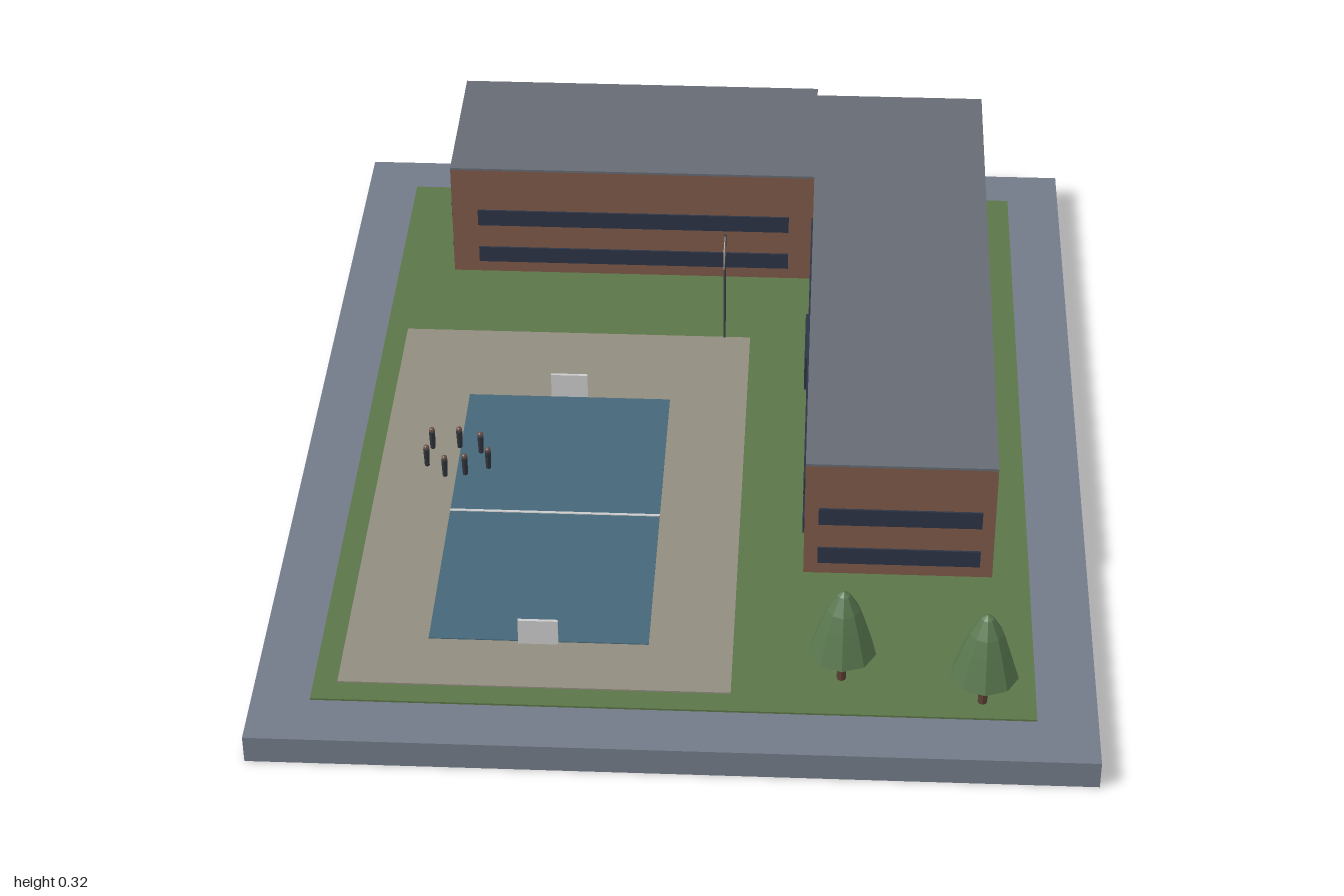
import * as THREE from 'three';

const mat = (color) => new THREE.MeshStandardMaterial({ color, flatShading: true });
const M = {
  base: mat(0x737b88), lawn: mat(0x5c7549), paving: mat(0x928d80), court: mat(0x456678),
  white: mat(0xcccccc), wall: mat(0x80594a), roof: mat(0x666b73), window: mat(0x2b3446),
  trunk: mat(0x5a4032), leaf: mat(0x5a7850), pole: mat(0x3c4046), flag: mat(0xb8aca0),
  clothes: mat(0x30343c), skin: mat(0x6b5048),
};

// Box given by its limits on each axis
function box(parent, name, m, [x0, x1], [y0, y1], [z0, z1]) {
  const mesh = new THREE.Mesh(new THREE.BoxGeometry(x1 - x0, y1 - y0, z1 - z0), m);
  mesh.position.set((x0 + x1) / 2, (y0 + y1) / 2, (z0 + z1) / 2);
  mesh.name = name;
  parent.add(mesh);
  return mesh;
}

function part(parent, name, geometry, m, x, y, z) {
  const mesh = new THREE.Mesh(geometry, m);
  mesh.position.set(x, y, z);
  mesh.name = name;
  parent.add(mesh);
  return mesh;
}

function group(parent, name) {
  const g = new THREE.Group();
  g.name = name;
  parent.add(g);
  return g;
}

const STOREYS = [[0.088, 0.125], [0.182, 0.22]];
const PROUD = 0.004;

// Window bands along a wall facing z or x
function bandsZ(parent, z, xs) {
  for (const ys of STOREYS) box(parent, 'windowBand', M.window, xs, ys, [z - PROUD, z + PROUD]);
}
function bandsX(parent, x, zs) {
  for (const ys of STOREYS) box(parent, 'windowBand', M.window, [x - PROUD, x + PROUD], ys, zs);
}

function wing(parent, name, xs, zs) {
  const g = group(parent, name);
  box(g, 'walls', M.wall, xs, [0.057, 0.32], zs);
  box(g, 'roof', M.roof, xs, [0.32, 0.325], zs);
  return g;
}

function tree(parent, x, z) {
  const g = group(parent, 'tree');
  g.position.set(x, 0.057, z);
  part(g, 'trunk', new THREE.CylinderGeometry(0.007, 0.009, 0.085, 8), M.trunk, 0, 0.0425, 0);
  const profile = [[0, 0.073], [0.064, 0.073], [0.043, 0.14], [0.031, 0.172], [0.012, 0.205], [0, 0.213]]
    .map(([r, y]) => new THREE.Vector2(r, y));
  part(g, 'crown', new THREE.LatheGeometry(profile, 9), M.leaf, 0, 0, 0);
}

function person(parent, x, z) {
  const g = group(parent, 'person');
  g.position.set(x, 0.066, z);
  part(g, 'body', new THREE.CylinderGeometry(0.0065, 0.005, 0.04, 8), M.clothes, 0, 0.02, 0);
  part(g, 'head', new THREE.SphereGeometry(0.006, 8, 6), M.skin, 0, 0.045, 0);
}

export function createModel() {
  const model = new THREE.Group();
  model.name = 'schoolSite';

  // Ground layers
  box(model, 'base', M.base, [-0.785, 0.785], [0, 0.057], [-0.988, 0.997]);
  box(model, 'lawn', M.lawn, [-0.675, 0.672], [0.05, 0.061], [-0.88, 0.887]);
  box(model, 'paving', M.paving, [-0.63, 0.105], [0.055, 0.064], [-0.31, 0.84]);
  box(model, 'court', M.court, [-0.473, -0.055], [0.058, 0.066], [-0.075, 0.71]);
  box(model, 'centreLine', M.white, [-0.473, -0.055], [0.06, 0.0675], [0.314, 0.32]);

  // L-shaped building
  const building = group(model, 'building');
  const rear = wing(building, 'rearWing', [-0.553, 0.235], [-0.913, -0.545]);
  bandsZ(rear, -0.545, [-0.497, 0.18]);
  bandsZ(rear, -0.913, [-0.497, 0.18]);
  bandsX(rear, -0.553, [-0.885, -0.573]);
  const side = wing(building, 'sideWing', [0.233, 0.6], [-0.885, 0.475]);
  bandsZ(side, 0.475, [0.26, 0.575]);
  bandsZ(side, -0.885, [0.26, 0.575]);
  bandsX(side, 0.6, [-0.785, 0.385]);
  bandsX(side, 0.233, [-0.545, 0.385]);
  box(side, 'door', M.window, [0.223, 0.235], [0.058, 0.142], [-0.29, -0.13]);

  // Goals at both ends of the court
  for (const z of [-0.079, 0.714]) {
    box(model, 'goal', M.white, [-0.302, -0.226], [0.062, 0.12], [z - 0.003, z + 0.003]);
  }

  // Flagpole
  part(model, 'flagpole', new THREE.CylinderGeometry(0.0025, 0.0025, 0.265, 8), M.pole, 0.05, 0.1925, -0.31);
  box(model, 'flag', M.flag, [0.049, 0.051], [0.28, 0.322], [-0.31, -0.245]);

  // Group of people standing in a ring
  for (const [x, z] of [[-0.53, 0.113], [-0.475, 0.108], [-0.43, 0.124], [-0.41, 0.175],
    [-0.455, 0.198], [-0.495, 0.205], [-0.535, 0.172]]) person(model, x, z);

  for (const [x, z] of [[0.31, 0.785], [0.572, 0.84], [0.52, -0.938]]) tree(model, x, z);

  return model;
}
